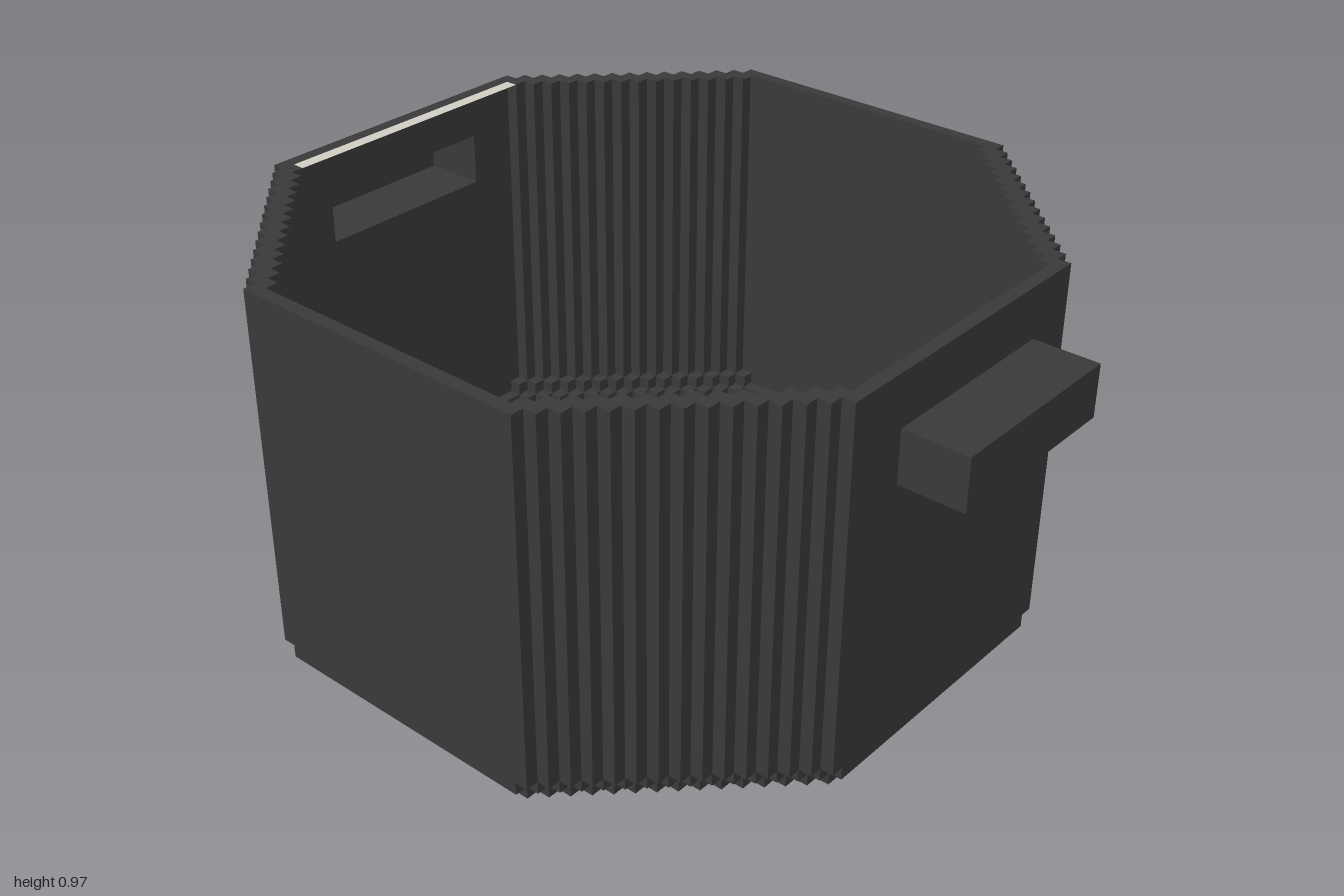
import * as THREE from 'three';

const V = 2 / 62; // size of one stair step

// Upper half of a stepped octagon: flats at distance h, flat half-length c
function halfOutline(h, c) {
  const q = [[h, c]];
  for (let i = 0; i < h - c; i++) q.push([h - 1 - i, c + i], [h - 1 - i, c + i + 1]);
  return [...q, ...q.map(([x, y]) => [-x, y]).reverse()];
}

const turn = (pts) => pts.map(([x, y]) => [-x, -y]);
const octagon = (h, c) => [...halfOutline(h, c), ...turn(halfOutline(h, c))];
const vectors = (pts) => pts.map(([x, y]) => new THREE.Vector2(x * V, y * V));
const rect = (x0, y0, x1, y1) => [[x0, y0], [x1, y0], [x1, y1], [x0, y1]];

// A diagonal row of unit squares starting at (x, y), mirrored to all four corners
function cornerSquares(x, y, count) {
  const squares = [];
  for (let i = 0; i < count; i++) {
    for (const sx of [1, -1]) {
      for (const sy of [1, -1]) {
        squares.push(rect(x - i, y + i, x - i + 1, y + i + 1).map(([a, b]) => [a * sx, b * sy]));
      }
    }
  }
  return squares;
}

export function createModel() {
  const group = new THREE.Group();
  const dark = new THREE.MeshStandardMaterial({ color: 0x3a3a3a, side: THREE.DoubleSide });
  dark.name = 'charcoal';
  const pale = new THREE.MeshStandardMaterial({ color: 0xd0cec5, side: THREE.DoubleSide });
  pale.name = 'pale grey';

  const add = (name, geometry, material = dark) => {
    const mesh = new THREE.Mesh(geometry, material);
    mesh.name = name;
    group.add(mesh);
  };
  // Thin upright wall along a path (x, -z), between two heights in steps
  const wall = (name, path, y0, y1) => {
    const pos = [];
    for (let i = 0; i < path.length - 1; i++) {
      const [px, py] = path[i];
      const [qx, qy] = path[i + 1];
      pos.push(px, y0, -py, qx, y0, -qy, qx, y1, -qy);
      pos.push(px, y0, -py, qx, y1, -qy, px, y1, -py);
    }
    const geo = new THREE.BufferGeometry();
    geo.setAttribute('position', new THREE.Float32BufferAttribute(pos, 3));
    geo.scale(V, V, V);
    geo.computeVertexNormals();
    add(name, geo);
  };
  const closedWall = (name, path, y0, y1) => wall(name, [...path, path[0]], y0, y1);
  // Flat horizontal panel; faces up, or down when dir is -1
  const panel = (name, shapes, y, dir = 1, material = dark) => {
    const geo = new THREE.ShapeGeometry(shapes);
    if (dir < 0) geo.scale(1, -1, 1).rotateX(Math.PI / 2);
    else geo.rotateX(-Math.PI / 2);
    if (dir < 0) {
      // the mirrored panel needs its corner order and normals turned over
      geo.index.array.reverse();
      geo.computeVertexNormals();
    }
    geo.translate(0, y * V, 0);
    add(name, geo, material);
  };
  const shapes = (...outlines) => outlines.map((pts) => new THREE.Shape(vectors(pts)));

  // Bottom and its two small outward steps
  panel('bottom', shapes(octagon(25, 11)), 0, -1);
  closedWall('bottomEdge', octagon(25, 11), 0, 1);
  panel('firstLedge', shapes(
    rect(25, -11, 26, 11), rect(-26, -11, -25, 11),
    rect(-11, 25, 11, 26), rect(-11, -26, 11, -25),
    ...cornerSquares(24, 11, 14),
  ), 1, -1);
  closedWall('stepEdge', octagon(26, 11), 1, 2);
  panel('secondLedge', shapes(...cornerSquares(25, 11, 15)), 2, -1);

  // Main wall, open where the hollow handles join
  closedWall('lowerWall', octagon(26, 12), 2, 22);
  wall('backWall', [[26, 8], ...halfOutline(26, 12), [-26, 8]], 22, 26);
  wall('frontWall', turn([[26, 7], ...halfOutline(26, 12), [-26, 7]]), 22, 26);
  closedWall('upperWall', octagon(26, 12), 26, 30);

  // Flat rim and the pale strip beside it
  const [rim] = shapes(octagon(26, 12));
  rim.holes.push(new THREE.Path(vectors(octagon(25, 11))));
  panel('rim', rim, 30);
  panel('rimStrip', shapes(rect(-25, -11, -24, 11)), 30, 1, pale);

  // Hollow handles, open towards the inside
  const handles = {
    leftHandle: [[26, -7], [31, -7], [31, 8], [26, 8]],
    rightHandle: [[-26, 8], [-31, 8], [-31, -7], [-26, -7]],
  };
  for (const [name, path] of Object.entries(handles)) {
    wall(name + 'Sides', path, 22, 26);
    panel(name + 'Top', shapes(path), 26);
    panel(name + 'Bottom', shapes(path), 22, -1);
  }
  return group;
}
